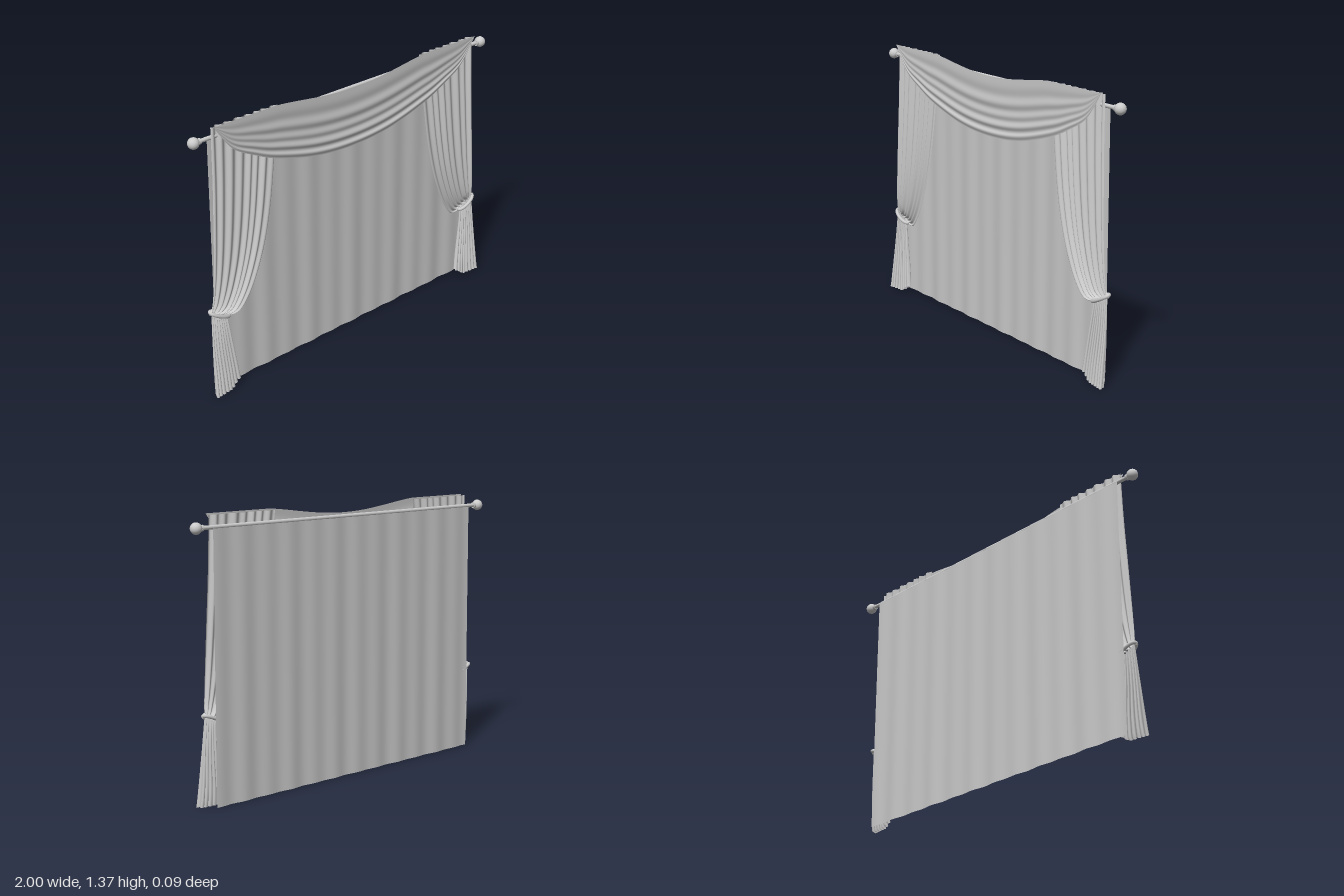
import * as THREE from 'three';

const cloth = new THREE.MeshStandardMaterial({ color: 0xcccccc, side: THREE.DoubleSide });
const solid = new THREE.MeshStandardMaterial({ color: 0xcccccc });
const { lerp, smoothstep } = THREE.MathUtils;

// Smooth edge curve through [x, y] points
const edge = pts => new THREE.SplineCurve(pts.map(p => new THREE.Vector2(...p)));

// Cloth sheet: place(u, v) gives [x, y, z]; u runs left to right, v bottom to top
function sheet(name, nu, nv, place) {
  const g = new THREE.PlaneGeometry(1, 1, nu, nv);
  const { position, uv } = g.attributes;
  for (let i = 0; i < position.count; i++) position.setXYZ(i, ...place(uv.getX(i), uv.getY(i)));
  g.computeVertexNormals();
  const mesh = new THREE.Mesh(g, cloth);
  mesh.name = name;
  return mesh;
}

function rod() {
  const group = new THREE.Group();
  group.name = 'curtainRod';
  const bar = new THREE.Mesh(new THREE.CylinderGeometry(0.01, 0.01, 1.9, 20), solid);
  bar.name = 'rodBar';
  bar.rotation.z = Math.PI / 2;
  group.add(bar);
  for (const s of [-1, 1]) {
    const ball = new THREE.Mesh(new THREE.SphereGeometry(0.028, 28, 20), solid);
    ball.name = 'finialBall';
    ball.position.x = s * 0.972;
    const collar = new THREE.Mesh(new THREE.CylinderGeometry(0.015, 0.015, 0.012, 20), solid);
    collar.name = 'finialCollar';
    collar.rotation.z = Math.PI / 2;
    collar.position.x = s * 0.941;
    group.add(ball, collar);
  }
  group.position.set(0, 1.305, -0.022);
  return group;
}

// Flat back panel with gentle irregular waves
function backPanel() {
  return sheet('backPanel', 200, 12, (u, v) => {
    const x = lerp(-0.885, 0.885, u);
    const wave = 0.003 * Math.sin(x * 42) + 0.0015 * Math.sin(x * 23 + 1);
    return [x, 1.3 * v, -0.036 + wave * (1 - 0.3 * v)];
  });
}

// Swag draped between the two top corners
function swag() {
  const half = [[0.885, 1.366], [0.78, 1.235], [0.65, 1.162], [0.5, 1.1], [0.25, 1.037]];
  const mirror = half.map(([x, y]) => [-x, y]);
  const low = edge([...mirror, [0, 1.018], ...half.reverse()]);
  const top = x => 1.366 - 0.046 * (Math.abs(x) < 0.5 ? Math.cos(x * Math.PI) ** 1.3 : 0);
  return sheet('swag', 100, 70, (u, v) => {
    const p = low.getPoint(u);
    const d = 1 - v;
    const spread = Math.sin(Math.PI * u);
    // Folds grow deeper and closer towards the lower hem
    const fold = 0.0045 * Math.sin(Math.pow(d, 1.5) * 30) + 0.002 * Math.sin(d * 17 + 1);
    const hem = 0.003 * smoothstep(d, 0.88, 0.91);
    return [p.x, lerp(top(p.x), p.y, d), 0.016 + (fold * (0.35 + 0.5 * d) + hem) * spread];
  });
}

// Gathered side curtain, s = +1 left or -1 right; a runs from outer to inner edge
function sideCurtain(s) {
  const group = new THREE.Group();
  group.name = s > 0 ? 'leftCurtain' : 'rightCurtain';
  const outer = edge([[0.885, 1.36], [0.89, 1.1], [0.9, 0.87], [0.908, 0.7],
    [0.915, 0.58], [0.921, 0.5], [0.925, 0.46], [0.927, 0.43]]);
  const inner = edge([[0.48, 1.36], [0.515, 1.1], [0.55, 0.87], [0.6, 0.67],
    [0.67, 0.5], [0.74, 0.4], [0.79, 0.38], [0.835, 0.395]]);
  const skirtOuter = edge([[0.927, 0.43], [0.936, 0.25], [0.941, 0.1], [0.945, 0]]);
  const skirtInner = edge([[0.835, 0.395], [0.825, 0.3], [0.802, 0.13], [0.79, 0.035]]);
  const across = u => (s > 0 ? 1 - u : u);

  // Upper drape, swept sideways to the tie
  group.add(sheet('upperDrape', 160, 60, (u, v) => {
    const a = across(u), d = 1 - v;
    const o = outer.getPoint(d), i = inner.getPoint(d);
    const folds = Math.sin(a * 46 + 0.8 * Math.sin(a * 9)) + 0.4 * Math.sin(a * 21 + 2);
    const amp = lerp(0.007, 0.005, d);
    const z = -0.009 + 0.013 * Math.sin(Math.PI * Math.min(1, d * 1.05)) + folds * amp;
    return [s * lerp(o.x, i.x, a), lerp(o.y, i.y, a), Math.min(z, 0.013 + 0.01 * d)];
  }));

  // Skirt below the tie, with deep folds opening to the floor
  group.add(sheet('lowerSkirt', 160, 30, (u, v) => {
    const a = across(u), d = 1 - v;
    const o = skirtOuter.getPoint(d), i = skirtInner.getPoint(d);
    const phase = a * 46 + 0.8 * Math.sin(a * 9);
    const amp = lerp(0.006, 0.016, smoothstep(d, 0, 0.8));
    const x = lerp(o.x, i.x, a) + 0.006 * d * Math.sin(2 * phase);
    const y = lerp(o.y, i.y, smoothstep(a, lerp(0, 0.6, d), 1));
    const z = -0.008 + d * lerp(0.036, 0.018, a) + Math.sin(phase) * amp;
    return [s * x, y, z];
  }));

  // Tie band looped round the gathered cloth
  const loop = [];
  for (let k = 0; k < 16; k++) {
    const t = k / 16 * Math.PI * 2, c = Math.cos(t), n = Math.sin(t);
    loop.push(new THREE.Vector3(s * (0.878 + 0.056 * c), 0.414 + 0.026 * c - 0.008 * n, -0.006 + 0.02 * n));
  }
  const path = new THREE.CatmullRomCurve3(loop, true);
  const tie = new THREE.Mesh(new THREE.TubeGeometry(path, 64, 0.009, 10, true), solid);
  tie.name = 'tieBand';
  const knot = new THREE.Mesh(new THREE.SphereGeometry(0.011, 14, 10), solid);
  knot.name = 'tieKnot';
  knot.scale.set(0.7, 1.4, 0.8);
  knot.rotation.z = s * 0.5;
  knot.position.set(s * 0.93, 0.44, -0.004);
  group.add(tie, knot);
  return group;
}

export function createModel() {
  const model = new THREE.Group();
  model.name = 'curtains';
  model.add(rod(), backPanel(), swag(), sideCurtain(1), sideCurtain(-1));
  return model;
}
